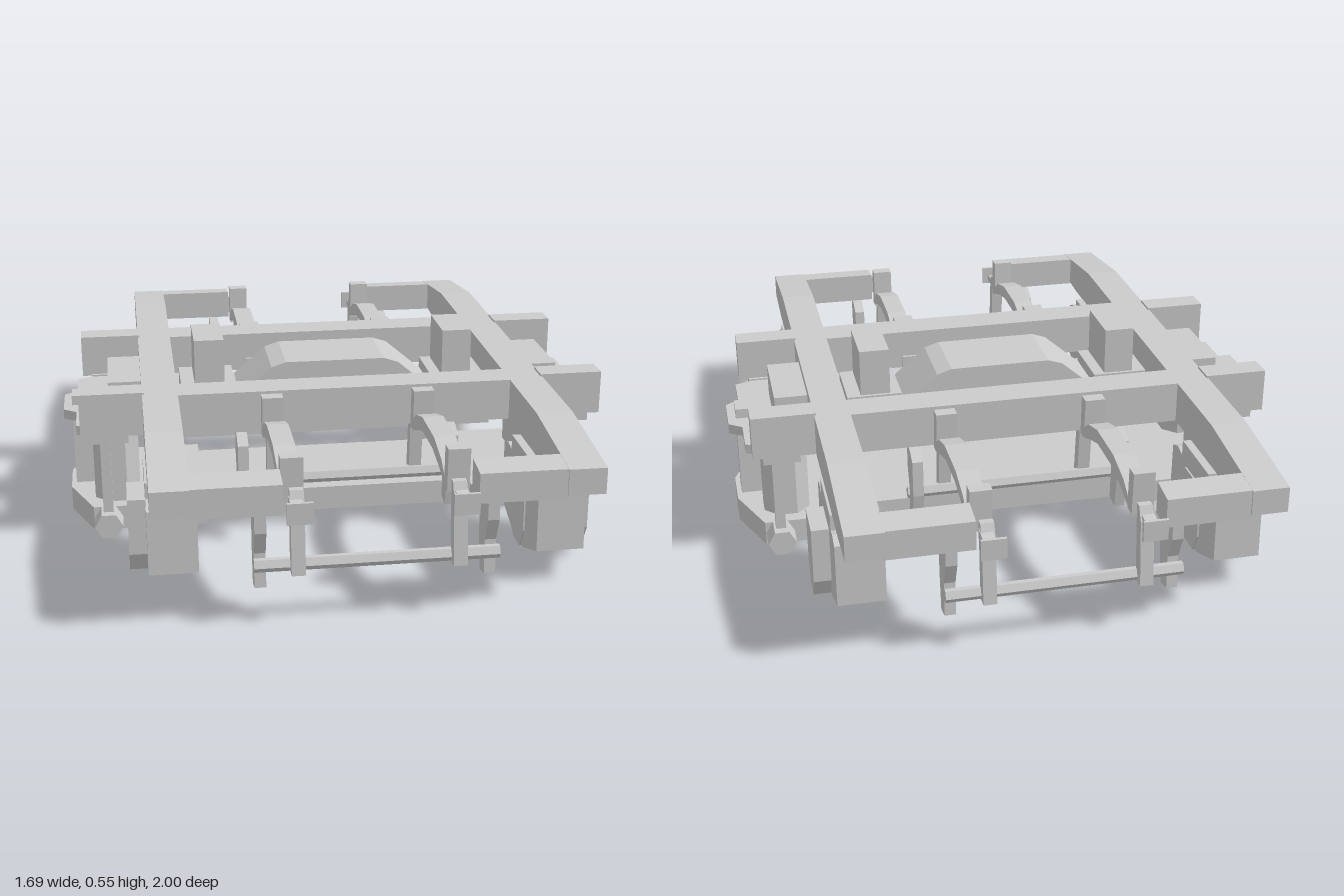
import * as THREE from 'three';

const material = new THREE.MeshStandardMaterial({ color: 0xcccccc, flatShading: true, side: THREE.DoubleSide });

export function createModel() {
  const model = new THREE.Group();
  const SIGNS = [-1, 1];

  const add = (name, geometry) => {
    const mesh = new THREE.Mesh(geometry, material);
    mesh.name = name;
    model.add(mesh);
    return mesh;
  };
  // Box from its limits on each axis
  const box = (name, x0, x1, y0, y1, z0, z1) => {
    const g = new THREE.BoxGeometry(Math.abs(x1 - x0), y1 - y0, Math.abs(z1 - z0));
    return add(name, g.translate((x0 + x1) / 2, (y0 + y1) / 2, (z0 + z1) / 2));
  };
  const extrude = (pts, depth) => new THREE.ExtrudeGeometry(
    new THREE.Shape(pts.map(p => new THREE.Vector2(p[0], p[1]))), { depth, bevelEnabled: false });
  // Side profile of [z, y] points, running from x0 to x1
  const side = (name, pts, x0, x1) => add(name, extrude(pts.map(([z, y]) => [-z, y]), Math.abs(x1 - x0))
    .rotateY(Math.PI / 2).translate(Math.min(x0, x1), 0, 0));
  // Plan outline of [x, z] points, running from y0 to y1
  const plan = (name, pts, y0, y1) => add(name, extrude(pts.map(([x, z]) => [x, -z]), y1 - y0)
    .rotateX(-Math.PI / 2).translate(0, y0, 0));
  // Complete a half outline by mirroring its first coordinate
  const mirrored = half => [...half, ...half.map(([a, b]) => [-a, b]).reverse()];
  const mirroredZ = half => [...half, ...half.map(([a, b]) => [a, -b]).reverse()];

  // Main frame: long side sills and two cross beams
  const sill = mirrored([[0.64, 0.46], [0.97, 0.42], [0.97, 0.345], [0.8, 0.335]]);
  for (const s of SIGNS) {
    side('sideSill', sill, s * 0.5, s * 0.605);
    box('crossBeam', -0.605, 0.605, 0.335, 0.46, s * 0.24, s * 0.345);
    for (const t of SIGNS) {
      box('crossBeamEnd', t * 0.6, t * 0.79, 0.335, 0.467, s * 0.25, s * 0.328);
      side('endBeamStub', [[s * 0.88, 0.335], [s * 0.965, 0.335], [s * 0.965, 0.42], [s * 0.88, 0.43]],
        t * 0.26, t * 0.505);
    }
  }

  // Bolster with its raised centre and side bearer pads
  box('bolster', -0.48, 0.48, 0.265, 0.335, -0.185, 0.185);
  add('bolsterHump', extrude(mirrored([[0.155, 0.47], [0.2, 0.455], [0.3, 0.37], [0.42, 0.325]]), 0.22)
    .translate(0, 0, -0.11));
  for (const s of SIGNS) {
    box('bearerBase', s * 0.31, s * 0.48, 0.32, 0.4, -0.1, 0.1);
    box('bearerPad', s * 0.345, s * 0.437, 0.39, 0.545, -0.09, 0.09);
    box('bolsterEnd', s * 0.6, s * 0.705, 0.33, 0.435, -0.128, 0.128);
    plan('bolsterEndPlate', mirroredZ([[0.42, 0.245], [0.74, 0.245], [0.805, 0.22], [0.805, 0.1], [0.845, 0.07]])
      .map(([x, z]) => [s * x, z]), 0.305, 0.335);
  }

  // Spring plank, narrower in the middle
  const plankHalf = [[0.42, 0.185], [0.42, 0.245], [0.765, 0.245], [0.835, 0.07]];
  const plankSide = mirroredZ(plankHalf);
  plan('springPlank', [...plankSide, ...plankSide.map(([x, z]) => [-x, -z])], 0, 0.075);

  // Springs, dampers and swing hangers at both ends of the bolster
  for (const s of SIGNS) {
    box('damper', s * 0.745, s * 0.82, 0.07, 0.365, -0.035, 0.035);
    for (const t of SIGNS) {
      add('spring', new THREE.CylinderGeometry(0.075, 0.075, 0.24, 8).rotateY(Math.PI / 8)
        .translate(s * 0.69, 0.19, t * 0.135));
      add('hangerPin', new THREE.CylinderGeometry(0.043, 0.043, 0.075, 6)
        .rotateX(Math.PI / 2).rotateZ(Math.PI / 2).translate(s * 0.72, 0.04, t * 0.282));
      box('swingHanger', s * 0.705, s * 0.735, 0.05, 0.34, t * 0.262, t * 0.292);
      box('hangerBracket', s * 0.65, s * 0.76, 0.305, 0.34, t * 0.24, t * 0.31);
    }
  }

  // Axle boxes
  const WHEEL = 0.595;
  const body = mirrored([[0.11, 0.337], [0.11, 0.29], [0.15, 0.3], [0.19, 0.285], [0.195, 0.1], [0.06, 0.05]]);
  const hub = mirrored([[0.067, 0.27], [0.067, 0.105], [0.035, 0.045]]);
  for (const s of SIGNS) for (const t of SIGNS) {
    const place = pts => pts.map(([z, y]) => [t * WHEEL + z, y]);
    side('axleBoxBody', place(body), s * 0.475, s * 0.612);
    side('axleBoxHub', place(hub), s * 0.47, s * 0.662);
  }

  // Brake rigging: arched arm over each wheel, with hangers, levers and a beam on either side of it
  const arch = [[0.36, 0.345], [0.43, 0.395], [0.52, 0.42], [0.68, 0.42], [0.78, 0.395], [0.86, 0.345],
    [0.83, 0.335], [0.76, 0.36], [0.67, 0.38], [0.53, 0.38], [0.45, 0.355], [0.4, 0.335]];
  const link = [[0.28, 0.38], [0.3, 0.38], [0.32, 0.34], [0.34, 0.15], [0.3, 0.15], [0.285, 0.33]];
  const lever = [[0.25, 0.33], [0.3, 0.335], [0.3, 0.26], [0.27, 0.19], [0.275, 0.09], [0.225, 0.08],
    [0.205, 0.2], [0.21, 0.31]];
  const CENTRE = 0.61;
  for (const t of SIGNS) {
    for (const s of SIGNS) {
      side('brakeArm', arch.map(([z, y]) => [t * z, y]), s * 0.195, s * 0.257);
      for (const z of [0.37, 0.845])
        side('armTab', [[z - 0.02, 0.33], [z + 0.02, 0.33], [z + 0.025, 0.455], [z - 0.015, 0.455]]
          .map(([a, y]) => [t * a, y]), s * 0.195, s * 0.257);
    }
    for (const u of SIGNS) {
      const at = pts => pts.map(([z, y]) => [t * (CENTRE + u * z), y]);
      for (const s of SIGNS) {
        side('brakeHanger', at(link), s * 0.2, s * 0.238);
        side('brakeLever', at(lever), s * 0.3, s * 0.332);
        side('hangerFoot', at([[0.29, 0.33], [0.385, 0.33], [0.385, 0.35], [0.29, 0.36]]), s * 0.205, s * 0.24);
        side('hangerCap', at([[0.38, 0.32], [0.39, 0.32], [0.39, 0.38], [0.38, 0.38]]), s * 0.185, s * 0.255);
      }
      side('brakeBeam', at([[0.28, 0.165], [0.29, 0.185], [0.305, 0.185], [0.315, 0.165], [0.305, 0.15], [0.29, 0.15]]),
        -0.335, 0.335);
    }
  }
  return model;
}
